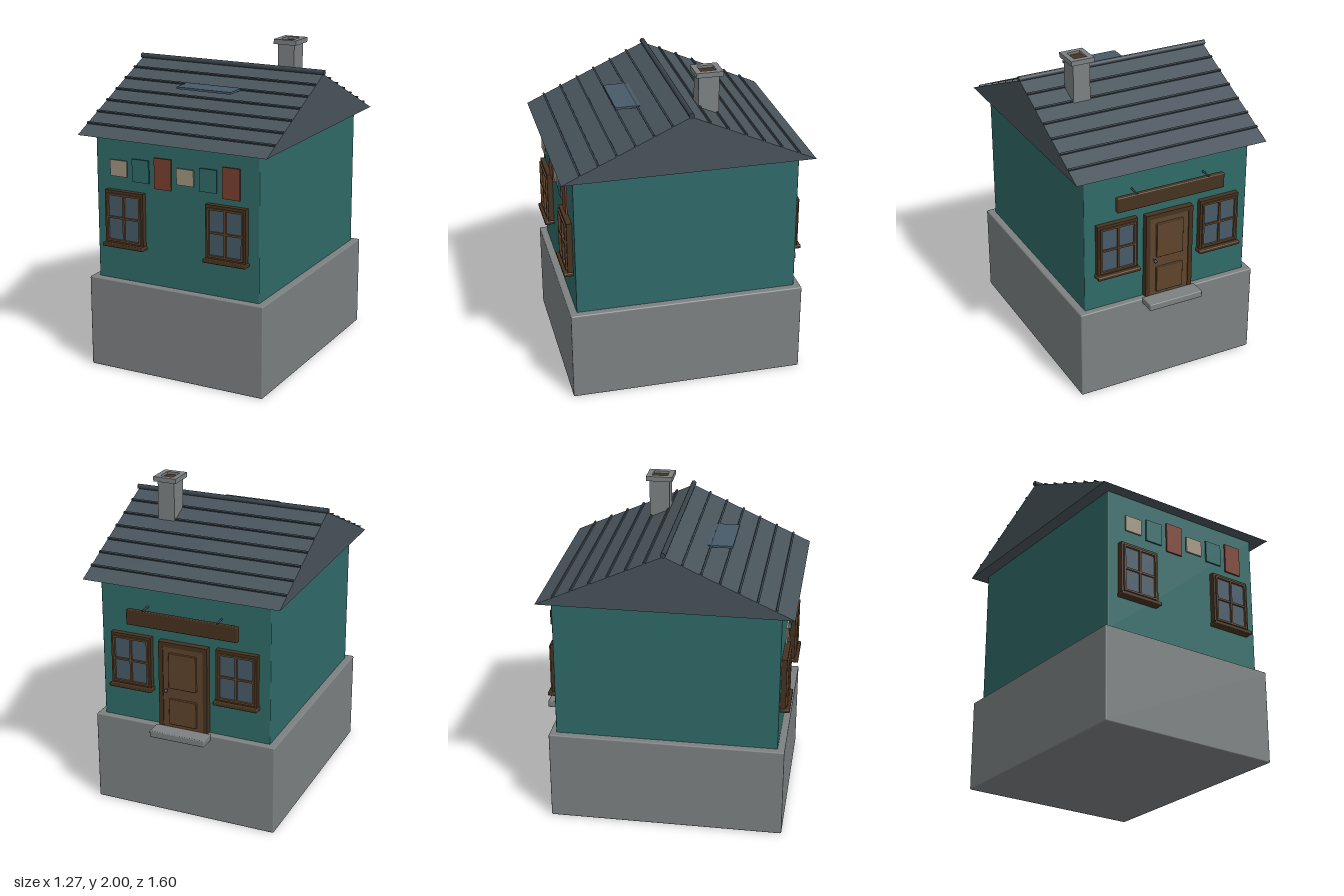
import * as THREE from 'three';
import { RoundedBoxGeometry } from 'three/addons/geometries/RoundedBoxGeometry.js';

const mat = (color) => new THREE.MeshStandardMaterial({ color });
const M = {
  stone: mat(0x7c8081), teal: mat(0x2f6a68), roof: mat(0x48535b), trim: mat(0x38434a),
  wood: mat(0x46321f), lightWood: mat(0x5e432b), glass: mat(0x475a68),
  beige: mat(0xa09480), red: mat(0x7a4030), metal: mat(0x3c444a),
};

function add(parent, name, geometry, material, x = 0, y = 0, z = 0) {
  const mesh = new THREE.Mesh(geometry, material);
  mesh.name = name;
  mesh.position.set(x, y, z);
  parent.add(mesh);
  return mesh;
}

// Box given by its [min, max] on each axis, with optional softened edges
function box(parent, name, material, [x0, x1], [y0, y1], [z0, z1], r = 0) {
  const s = [x1 - x0, y1 - y0, z1 - z0];
  const geo = r ? new RoundedBoxGeometry(...s, 2, r) : new THREE.BoxGeometry(...s);
  return add(parent, name, geo, material, (x0 + x1) / 2, (y0 + y1) / 2, (z0 + z1) / 2);
}

// Rectangular ring centred on the origin in xy, from z = 0 to depth
function ring(w, h, holeW, holeH, depth) {
  const rect = (P, a, b) => {
    const p = new P();
    p.moveTo(-a / 2, -b / 2).lineTo(a / 2, -b / 2).lineTo(a / 2, b / 2).lineTo(-a / 2, b / 2).closePath();
    return p;
  };
  const shape = rect(THREE.Shape, w, h);
  shape.holes.push(rect(THREE.Path, holeW, holeH));
  return new THREE.ExtrudeGeometry(shape, { depth, bevelEnabled: false });
}

// Window facing +z with its back on z = 0
function makeWindow() {
  const g = new THREE.Group();
  g.name = 'window';
  add(g, 'windowFrame', ring(0.265, 0.335, 0.225, 0.295, 0.034), M.wood);
  add(g, 'sash', ring(0.235, 0.3, 0.212, 0.277, 0.03), M.lightWood, 0, 0, 0.014);
  box(g, 'glass', M.glass, [-0.11, 0.11], [-0.145, 0.145], [0, 0.03]);
  box(g, 'verticalMuntin', M.lightWood, [-0.006, 0.006], [-0.142, 0.142], [0.02, 0.043]);
  box(g, 'horizontalMuntin', M.lightWood, [-0.11, 0.11], [-0.006, 0.006], [0.02, 0.04]);
  box(g, 'sill', M.wood, [-0.142, 0.142], [-0.185, -0.162], [0, 0.06], 0.006);
  return g;
}

export function createModel() {
  const house = new THREE.Group();
  house.name = 'house';

  // Plinth and walls
  box(house, 'foundation', M.stone, [-0.595, 0.595], [0, 0.58], [-0.7, 0.764], 0.008);
  box(house, 'walls', M.teal, [-0.55, 0.55], [0.575, 1.485], [-0.66, 0.72], 0.006);

  // Gable roof as a solid prism
  const eave = 1.48, peak = 1.83, run = 0.77, ridgeZ = 0.03, halfX = 0.63;
  const gable = new THREE.Shape();
  gable.moveTo(-run, 0).lineTo(run, 0).lineTo(0, peak - eave).closePath();
  const roofGeo = new THREE.ExtrudeGeometry(gable, { depth: 2 * halfX, bevelEnabled: false });
  roofGeo.translate(0, 0, -halfX).rotateY(Math.PI / 2);
  add(house, 'roof', roofGeo, M.roof, 0, eave, ridgeZ);

  // Tile courses on both slopes
  const pitch = Math.atan2(peak - eave, run);
  for (const side of [1, -1]) {
    for (let i = 1; i <= 6; i++) {
      const d = i * 0.11;
      const strip = add(house, 'tileCourse', new THREE.BoxGeometry(2 * halfX, 0.016, 0.012), M.trim,
        0, peak - d * Math.tan(pitch) + 0.003, ridgeZ + side * d);
      strip.rotation.x = side * pitch;
    }
  }
  const ridge = add(house, 'ridgeCap', new THREE.CylinderGeometry(0.016, 0.016, 1.275, 12), M.trim, 0, 1.84, ridgeZ);
  ridge.rotation.z = Math.PI / 2;

  // Roof hatch
  box(house, 'skylightFrame', M.trim, [-0.19, 0.19], [1.728, 1.738], [0.2, 0.24]);
  box(house, 'skylight', M.glass, [-0.185, 0.185], [1.727, 1.74], [0.2, 0.383]);

  // Chimney with an open cap
  const cx = 0.331, cz = -0.138;
  box(house, 'chimney', M.stone, [cx - 0.055, cx + 0.055], [1.6, 1.975], [cz - 0.063, cz + 0.063]);
  const cap = add(house, 'chimneyCap', ring(0.15, 0.166, 0.084, 0.098, 0.03), M.stone, cx, 1.97, cz);
  cap.rotation.x = -Math.PI / 2;
  box(house, 'flue', M.wood, [cx - 0.043, cx + 0.043], [1.96, 1.985], [cz - 0.05, cz + 0.05]);

  // Two windows on the front and two on the back
  for (const x of [-0.345, 0.345]) {
    const front = makeWindow();
    front.position.set(x, 0.983, 0.72);
    const back = makeWindow();
    back.position.set(x, 0.983, -0.66);
    back.rotation.y = Math.PI;
    house.add(front, back);
  }

  // Row of plaques above the front windows
  const plaques = [[M.beige, 1.24, 1.34], [M.teal, 1.22, 1.36], [M.red, 1.195, 1.385]];
  for (let i = 0; i < 6; i++) {
    const [material, y0, y1] = plaques[i % 3];
    const x = -0.382 + i * 0.152;
    box(house, 'plaque', material, [x - 0.057, x + 0.057], [y0, y1], [0.736, 0.747]);
  }

  // Back door with raised panels, knob and step
  const door = new THREE.Group();
  door.name = 'door';
  house.add(door);
  for (const s of [-1, 1]) {
    box(door, 'doorJamb', M.wood, [s * 0.145 - 0.014, s * 0.145 + 0.014], [0.585, 1.14], [-0.7, -0.655]);
  }
  box(door, 'doorLintel', M.wood, [-0.159, 0.159], [1.115, 1.145], [-0.7, -0.655]);
  box(door, 'doorLeaf', M.lightWood, [-0.135, 0.135], [0.585, 1.12], [-0.694, -0.655]);
  for (const [y0, y1] of [[0.61, 0.78], [0.85, 1.08]]) {
    box(door, 'doorPanel', M.lightWood, [-0.09, 0.09], [y0, y1], [-0.709, -0.69], 0.004);
  }
  add(door, 'doorKnob', new THREE.SphereGeometry(0.011, 16, 12), M.metal, 0.105, 0.835, -0.72);
  const stem = add(door, 'knobStem', new THREE.CylinderGeometry(0.004, 0.004, 0.03, 8), M.metal, 0.105, 0.835, -0.705);
  stem.rotation.x = Math.PI / 2;
  box(house, 'doorStep', M.stone, [-0.18, 0.18], [0.547, 0.59], [-0.8, -0.695], 0.006);

  // Blank sign board with two rods above it
  box(house, 'signBoard', M.wood, [-0.36, 0.36], [1.225, 1.322], [-0.717, -0.685], 0.006);
  for (const x of [-0.24, 0.24]) {
    const rod = add(house, 'signRod', new THREE.CylinderGeometry(0.006, 0.006, 0.08, 10), M.metal, x, 1.337, -0.695);
    rod.rotation.x = Math.PI / 2;
  }
  return house;
}
